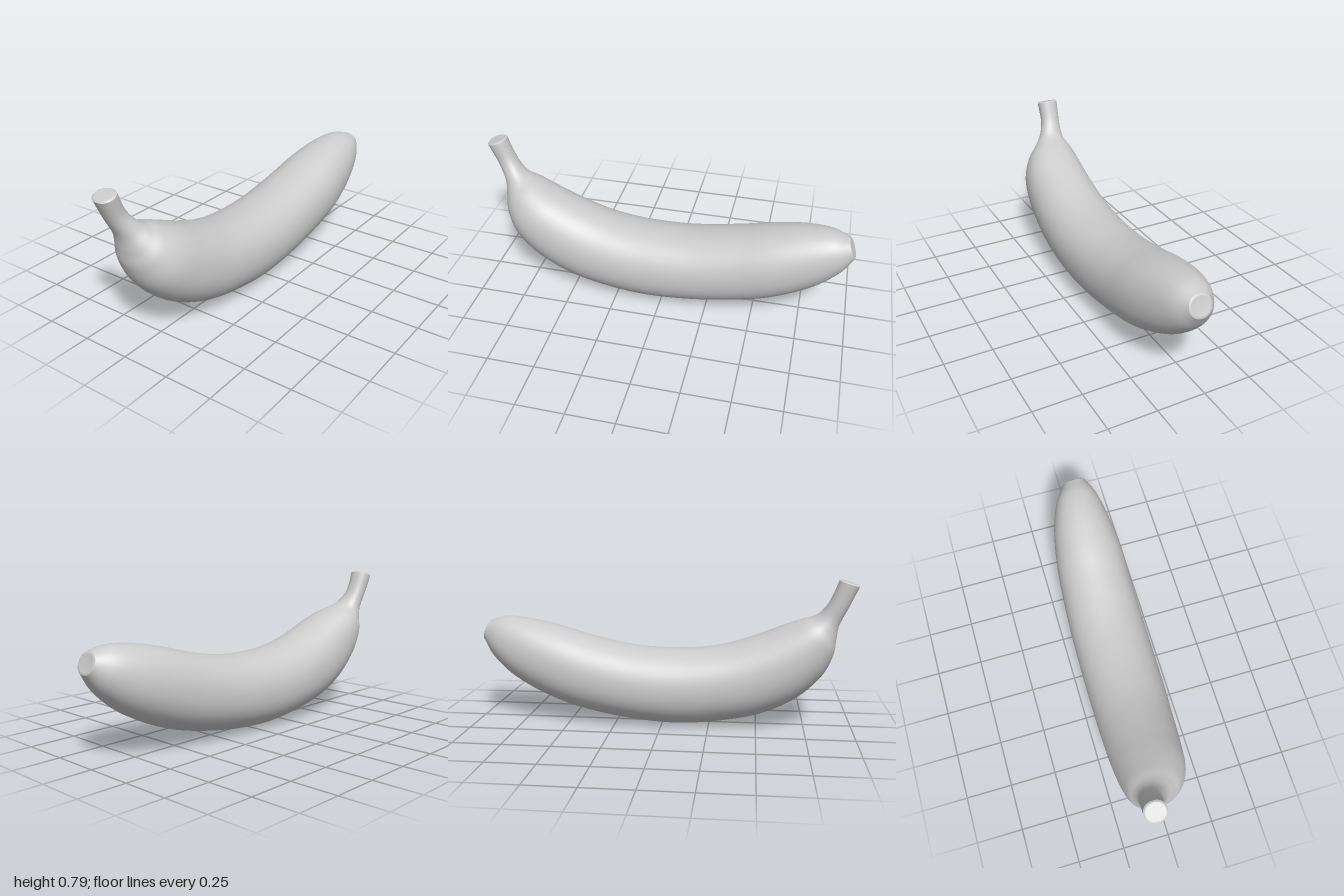
import * as THREE from 'three';

// Stations from stem to tip: outer edge x,y | inner edge x,y | z centre | z half-width
const STATIONS = [
  [-1.0, 0.76, -0.9, 0.79, -0.095, 0.058],
  [-0.95, 0.65, -0.86, 0.69, -0.09, 0.055],
  [-0.91, 0.56, -0.82, 0.63, -0.072, 0.07],
  [-0.9, 0.48, -0.78, 0.6, -0.055, 0.1],
  [-0.89, 0.4, -0.72, 0.58, -0.04, 0.138],
  [-0.84, 0.29, -0.62, 0.54, -0.022, 0.172],
  [-0.72, 0.17, -0.5, 0.49, -0.015, 0.19],
  [-0.55, 0.08, -0.35, 0.44, -0.01, 0.2],
  [-0.35, 0.03, -0.22, 0.415, -0.005, 0.206],
  [-0.1, 0.003, -0.07, 0.405, -0.002, 0.208],
  [0.15, 0.018, 0.15, 0.415, 0, 0.207],
  [0.4, 0.06, 0.38, 0.46, 0.005, 0.2],
  [0.6, 0.12, 0.56, 0.51, 0.013, 0.19],
  [0.8, 0.22, 0.72, 0.545, 0.02, 0.16],
  [0.93, 0.33, 0.86, 0.557, 0.03, 0.115],
  [0.997, 0.43, 0.955, 0.535, 0.04, 0.06],
];
const RINGS = 90, SIDES = 40;

// Outer curve carries the z centre, inner curve carries the half-width
const curve = (pick) => new THREE.CatmullRomCurve3(
  STATIONS.map((s) => new THREE.Vector3(...pick(s))), false, 'catmullrom', 0.5);
const outer = curve((s) => [s[0], s[1], s[4]]);
const inner = curve((s) => [s[2], s[3], s[5]]);

// Slightly squared oval ring at t
function ring(t) {
  const o = outer.getPoint(t), n = inner.getPoint(t);
  const soft = (v) => Math.sign(v) * Math.abs(v) ** 0.93;
  return Array.from({ length: SIDES }, (_, j) => {
    const a = (j / SIDES) * Math.PI * 2, c = soft(Math.cos(a)), s = soft(Math.sin(a));
    return new THREE.Vector3(
      (o.x + n.x) / 2 + ((n.x - o.x) / 2) * s,
      (o.y + n.y) / 2 + ((n.y - o.y) / 2) * s,
      o.z + n.z * c);
  });
}

// Skin a list of rings, optionally closing the last one to a centre point
function loft(rings, centre) {
  const pts = rings.flat(), index = [], last = (rings.length - 1) * SIDES;
  for (let i = 0; i < rings.length - 1; i++) {
    for (let j = 0; j < SIDES; j++) {
      const k = (j + 1) % SIDES, a = i * SIDES, b = a + SIDES;
      index.push(a + j, b + j, a + k, b + j, b + k, a + k);
    }
  }
  if (centre) {
    pts.push(centre);
    for (let j = 0; j < SIDES; j++) index.push(last + j, pts.length - 1, last + (j + 1) % SIDES);
  }
  const g = new THREE.BufferGeometry().setFromPoints(pts);
  g.setIndex(index);
  g.computeVertexNormals();
  return g;
}

// End cap: a rim bevel, then a flat or dished face
function cap(edge, outward, bevel, dish) {
  const mid = edge.reduce((m, p) => m.add(p), new THREE.Vector3()).divideScalar(SIDES);
  const scaled = (f, h) => edge.map((p) => p.clone().sub(mid).multiplyScalar(f).add(mid).addScaledVector(outward, h));
  return loft([edge, scaled(0.88, bevel), scaled(0.8, bevel)], mid.clone().addScaledVector(outward, bevel - dish));
}

export function createModel() {
  const group = new THREE.Group();
  group.name = 'banana';
  const material = new THREE.MeshStandardMaterial({ color: 0xcccccc });
  const add = (name, geometry) => {
    const mesh = new THREE.Mesh(geometry, material);
    mesh.name = name;
    group.add(mesh);
  };

  // Curved body running from the stem into the tip
  const rings = Array.from({ length: RINGS + 1 }, (_, i) => ring(i / RINGS));
  add('bodyAndStem', loft(rings));

  // Cut face of the stem; the ring is reversed so the face points outward
  add('stemCap', cap([...rings[0]].reverse(), new THREE.Vector3(-0.29, 0.96, 0), 0.006, 0));

  // Blunt blossom end
  add('tipCap', cap(rings[RINGS], new THREE.Vector3(0.93, 0.37, 0), 0.003, 0.004));
  return group;
}
